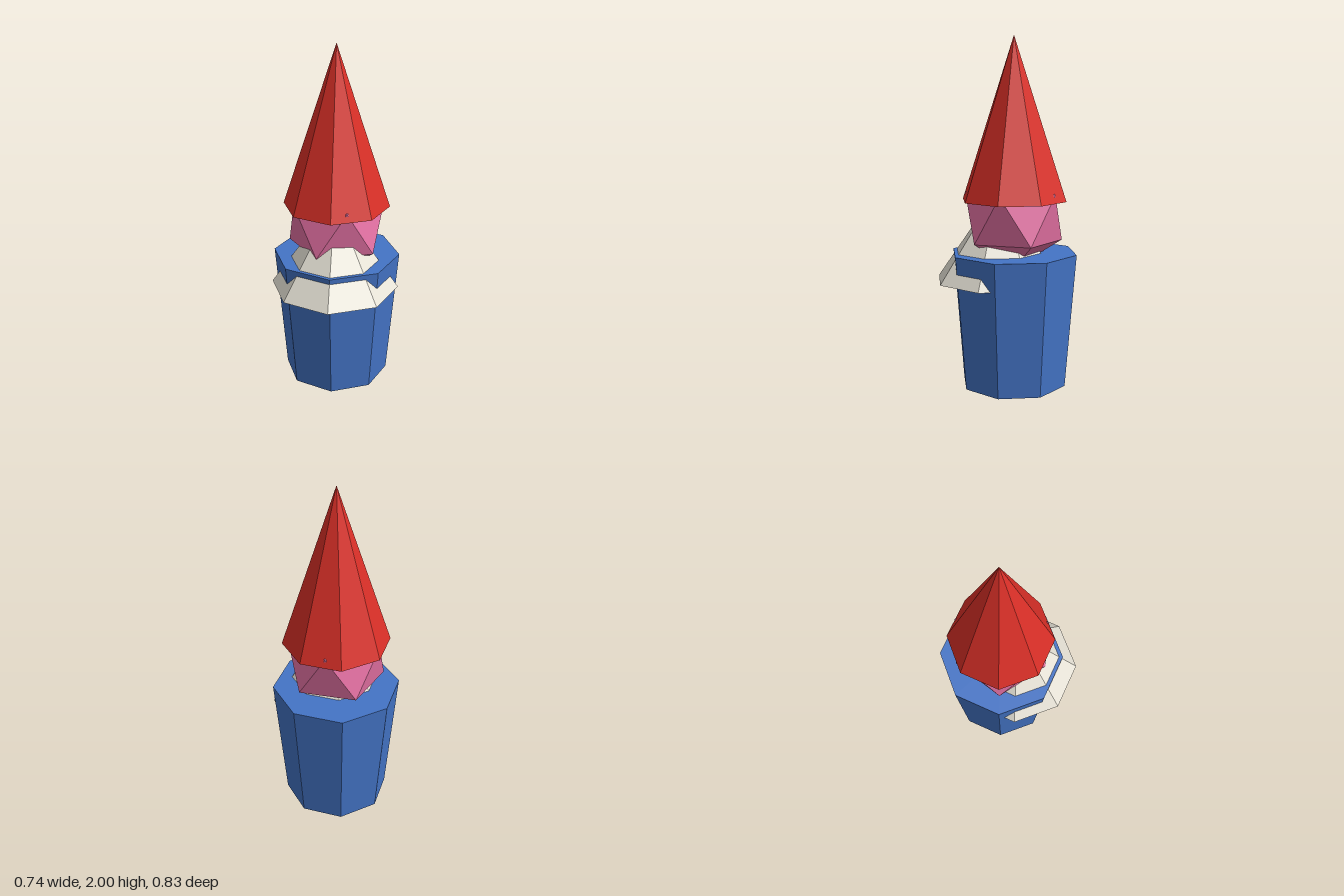
import * as THREE from 'three';

const SIDES = 8;

export function createModel() {
  const model = new THREE.Group();

  function add(name, geometry, color, y, z) {
    const material = new THREE.MeshStandardMaterial({ color, flatShading: true });
    const mesh = new THREE.Mesh(geometry, material);
    mesh.name = name;
    mesh.position.set(0, y, z);
    model.add(mesh);
  }

  // Tapered octagonal body
  add('body', new THREE.CylinderGeometry(0.37, 0.308, 0.775, SIDES), 0x4474c6, 0.3875, -0.047);

  // Beard: a cone set forward, its back half hidden inside head and body
  add('beard', new THREE.ConeGeometry(0.37, 0.53, SIDES), 0xe8e4d8, 0.61 + 0.265, 0.045);

  // Faceted head, turned so that one vertex points straight up
  const head = new THREE.IcosahedronGeometry(0.31, 0);
  head.rotateZ(-Math.atan(2 / (1 + Math.sqrt(5))));
  add('head', head, 0xea74a8, 0.984, -0.047);

  // Tall pointed hat
  add('hat', new THREE.ConeGeometry(0.308, 0.925, SIDES), 0xdc3028, 1.075 + 0.4625, -0.047);

  return model;
}
